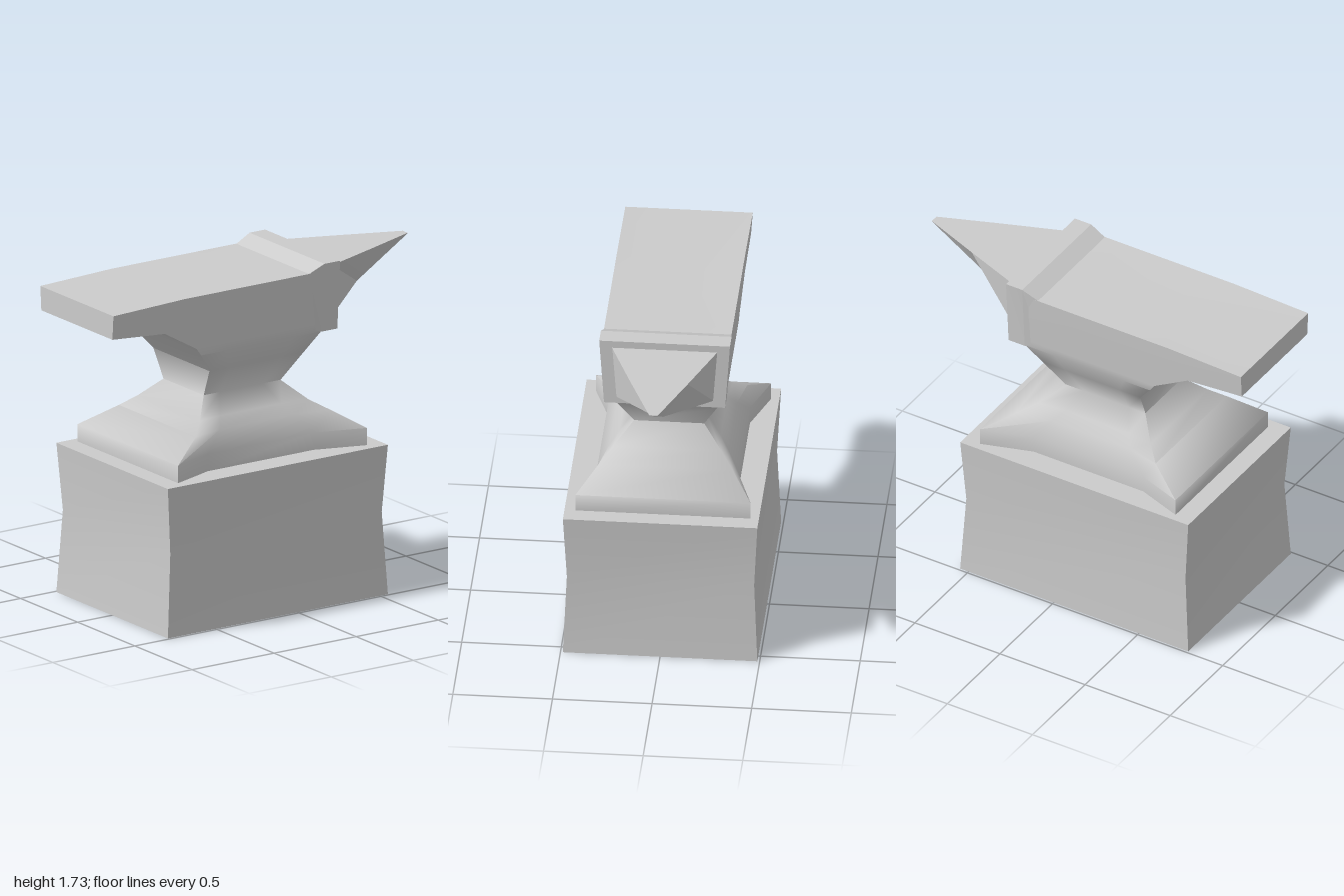
import * as THREE from 'three';
import { toCreasedNormals } from 'three/addons/utils/BufferGeometryUtils.js';

const material = new THREE.MeshStandardMaterial({ color: 0xcccccc });

// Skin a stack of rings (counterclockwise seen from the last ring's side) and cap both ends.
function loft(name, rings, crease) {
  const n = rings[0].length;
  const points = rings.flat();
  const index = [];
  for (let r = 0; r < rings.length - 1; r++) {
    for (let i = 0; i < n; i++) {
      const a = r * n + i, b = r * n + (i + 1) % n;
      index.push(a, b, b + n, a, b + n, a + n);
    }
  }
  [0, rings.length - 1].forEach((r, end) => {
    const centre = new THREE.Vector3();
    rings[r].forEach((p) => centre.addScaledVector(new THREE.Vector3(...p), 1 / n));
    const c = points.push(centre.toArray()) - 1;
    for (let i = 0; i < n; i++) {
      const a = r * n + i, b = r * n + (i + 1) % n;
      index.push(c, end ? a : b, end ? b : a);
    }
  });
  const geometry = new THREE.BufferGeometry();
  geometry.setAttribute('position', new THREE.Float32BufferAttribute(points.flat(), 3));
  geometry.setIndex(index);
  const mesh = new THREE.Mesh(toCreasedNormals(geometry.toNonIndexed(), crease), material);
  mesh.name = name;
  return mesh;
}

// Horizontal rectangle at height y
const plan = (y, x0, x1, z) => [[x1, y, z], [x1, y, -z], [x0, y, -z], [x0, y, z]];

// Horizontal section with two extra points on each long side, which may be drawn in
function waistedPlan(y, x0, x1, zCorner, zMid = zCorner, yLeft = y, m0 = 0.21, m1 = 0.77) {
  const a = x0 + (x1 - x0) * m0, b = x0 + (x1 - x0) * m1;
  return [
    [x1, y, zCorner], [x1, y, -zCorner], [b, y, -zMid], [a, y, -zMid],
    [x0, yLeft, -zCorner], [x0, yLeft, zCorner], [a, y, zMid], [b, y, zMid],
  ];
}

// Upright trapezoid at position x
const section = (x, yLow, yHigh, zLow, zHigh) =>
  [[x, yHigh, zHigh], [x, yLow, zLow], [x, yLow, -zLow], [x, yHigh, -zHigh]];

export function createModel() {
  const model = new THREE.Group();
  model.name = 'anvilOnBlock';

  // Supporting block, slightly pinched at mid height
  model.add(loft('block', [
    plan(0, -0.79, 0.55, 0.488),
    plan(0.43, -0.763, 0.525, 0.47),
    plan(0.78, -0.79, 0.55, 0.488),
  ], 0.6));

  const anvil = new THREE.Group();
  anvil.name = 'anvil';
  anvil.position.z = -0.007;
  model.add(anvil);

  // Flared foot, narrow waist, spreading body and heel
  anvil.add(loft('body', [
    waistedPlan(0.78, -0.69, 0.46, 0.44, 0.355),
    waistedPlan(0.87, -0.69, 0.46, 0.44, 0.355),
    waistedPlan(0.965, -0.51, 0.31, 0.337, 0.3),
    waistedPlan(1.02, -0.44, 0.22, 0.272, 0.255),
    waistedPlan(1.115, -0.35, 0.118, 0.176),
    waistedPlan(1.26, -0.363, 0.21, 0.245),
    waistedPlan(1.37, -0.45, 0.28, 0.298),
    waistedPlan(1.41, -0.48, 0.28, 0.301),
    waistedPlan(1.525, -0.68, 0.28, 0.309),
    waistedPlan(1.55, -1, 0.28, 0.311),
    waistedPlan(1.69, -1, 0.28, 0.32, 0.32, 1.675, 0.34, 0.8),
  ], 1.4));

  // Raised collar between face and horn
  anvil.add(loft('collar', [
    section(0.19, 1.4, 1.688, 0.29, 0.318),
    section(0.28, 1.37, 1.73, 0.304, 0.328),
    section(0.375, 1.37, 1.73, 0.304, 0.328),
  ], 0.1));

  // Flat-topped horn with a narrow keel
  anvil.add(loft('horn', [
    section(0.37, 1.405, 1.692, 0.245, 0.266),
    section(0.69, 1.495, 1.692, 0.022, 0.144),
    section(1, 1.688, 1.692, 0.02, 0.022),
  ], 0.3));

  return model;
}
